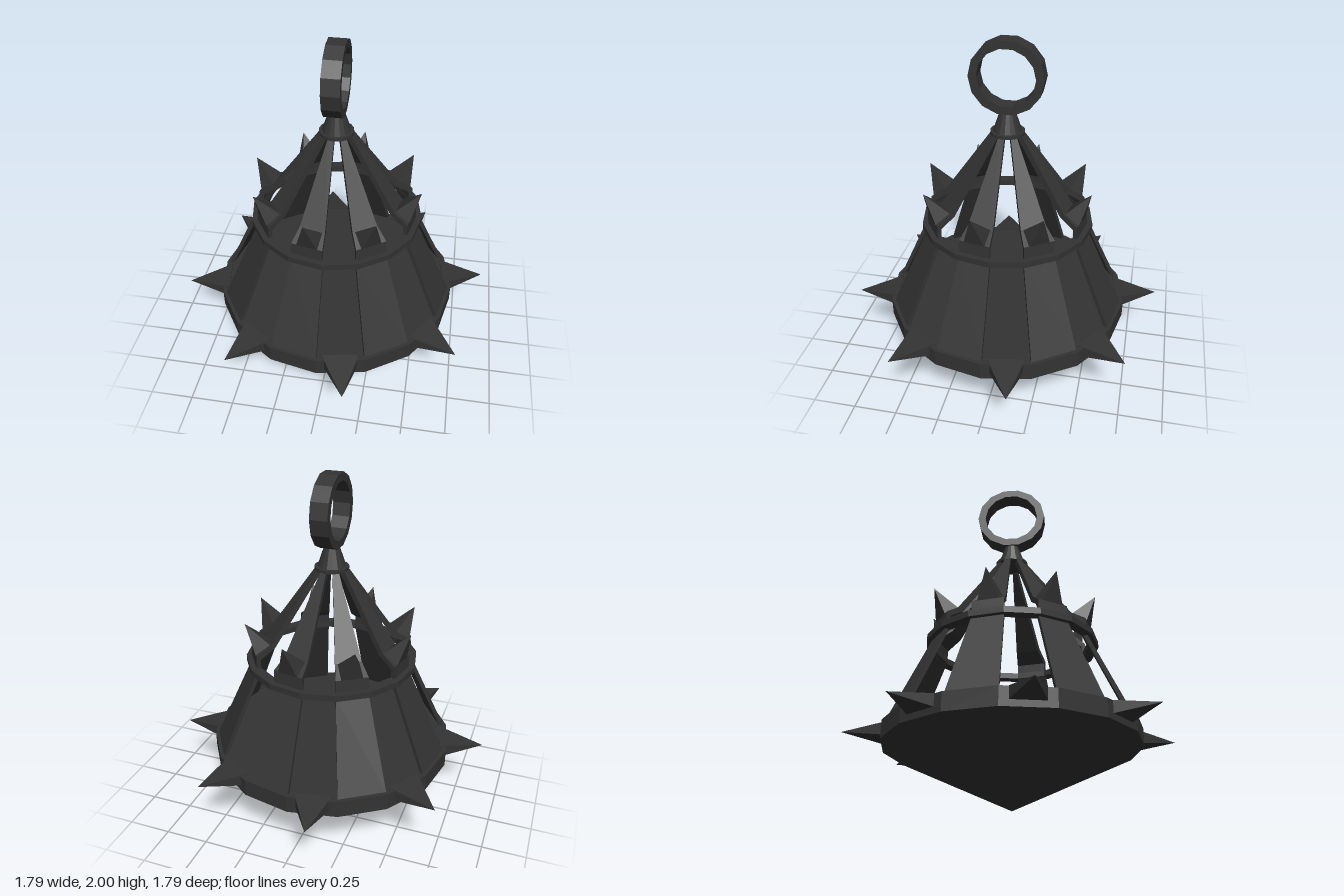
import * as THREE from 'three';

const SIDES = 16;
const STEP = (Math.PI * 2) / SIDES;
const iron = new THREE.MeshStandardMaterial({ color: 0x333333, flatShading: true });
const ironThin = new THREE.MeshStandardMaterial({ color: 0x333333, flatShading: true, side: THREE.DoubleSide });

function add(parent, name, geometry, material = iron) {
  const mesh = new THREE.Mesh(geometry, material);
  mesh.name = name;
  parent.add(mesh);
  return mesh;
}

// Closed [radius, y] profile revolved around the axis
function lathe(profile, segments, start = 0, length = Math.PI * 2) {
  const points = [...profile, profile[0]].map(([r, y]) => new THREE.Vector2(r, y));
  return new THREE.LatheGeometry(points, segments, start, length);
}

// Four-sided pyramid, base at the origin, pointing along +y
function spikeGeometry(width, length, depth) {
  const g = new THREE.ConeGeometry(Math.SQRT1_2, 1, 4);
  g.rotateY(Math.PI / 4);
  g.translate(0, 0.5, 0);
  g.scale(width, length, depth);
  return g;
}

// Spike set at an angle around the axis, leaning outward by tilt
function addSpike(parent, name, geometry, angle, radius, y, tilt) {
  const holder = new THREE.Group();
  holder.name = name + 'Holder';
  holder.rotation.y = angle;
  const spike = add(holder, name, geometry);
  spike.position.set(0, y, radius);
  spike.rotation.x = tilt;
  parent.add(holder);
}

export function createModel() {
  const model = new THREE.Group();
  model.name = 'spikedCage';

  // Base: pointed underside and flat rim
  const point = add(model, 'basePoint', new THREE.CylinderGeometry(0.71, 0, 0.33, SIDES, 1, true));
  point.position.y = 0.165;
  const rim = add(model, 'baseRim', new THREE.CylinderGeometry(0.71, 0.71, 0.1, SIDES));
  rim.position.y = 0.38;

  // Ribs: every second facet, bent at the shoulder
  const t = 0.025;
  const ribProfile = [
    [0.69, 0.43], [0.465, 0.92], [0.46, 1.02], [0.375, 1.075], [0.09, 1.48],
    [0.09 - t, 1.46], [0.375 - t, 1.055], [0.46 - t, 1.0], [0.465 - t, 0.92], [0.69 - t, 0.43],
  ];
  const ribSide = new THREE.ShapeGeometry(new THREE.Shape(ribProfile.map(([r, y]) => new THREE.Vector2(r, y))));
  const lowerSpike = spikeGeometry(0.21, 0.255, 0.078);
  const upperSpike = spikeGeometry(0.12, 0.17, 0.1);

  for (let i = 0; i < SIDES / 2; i++) {
    const turn = i * STEP * 2;
    const rib = new THREE.Group();
    rib.name = 'rib';
    rib.rotation.y = turn;
    add(rib, 'ribPlate', lathe(ribProfile, 1, -STEP, STEP));
    for (const edge of [-STEP, 0]) {
      add(rib, 'ribSide', ribSide, ironThin).rotation.y = edge - Math.PI / 2;
    }
    model.add(rib);

    addSpike(model, 'shoulderSpike', upperSpike, turn - STEP / 2, 0.41, 1.045, 0.54);
    addSpike(model, 'rimSpike', lowerSpike, turn + STEP / 2, 0.66, 0.398, Math.PI / 2);
  }

  // Hoop around the ribs
  add(model, 'hoop', lathe([[0.495, 0.915], [0.495, 0.95], [0.435, 0.95], [0.435, 0.915]], SIDES));

  // Collar and neck
  const collar = add(model, 'collar', new THREE.CylinderGeometry(0.096, 0.096, 0.018, SIDES));
  collar.position.y = 1.483;
  const neck = add(model, 'neck', new THREE.CylinderGeometry(0.04, 0.08, 0.12, SIDES));
  neck.position.y = 1.55;

  // Hanging ring
  const circle = (radius) => Array.from({ length: 14 }, (_, i) => {
    const a = (i / 14) * Math.PI * 2;
    return new THREE.Vector2(Math.cos(a) * radius, Math.sin(a) * radius);
  });
  const ringShape = new THREE.Shape(circle(0.205));
  ringShape.holes.push(new THREE.Path(circle(0.16)));
  const ringGeometry = new THREE.ExtrudeGeometry(ringShape, { depth: 0.1, bevelEnabled: false });
  ringGeometry.translate(0, 0, -0.05);
  const ring = add(model, 'hangingRing', ringGeometry);
  ring.rotation.y = Math.PI / 2;
  ring.position.y = 1.8;

  return model;
}
